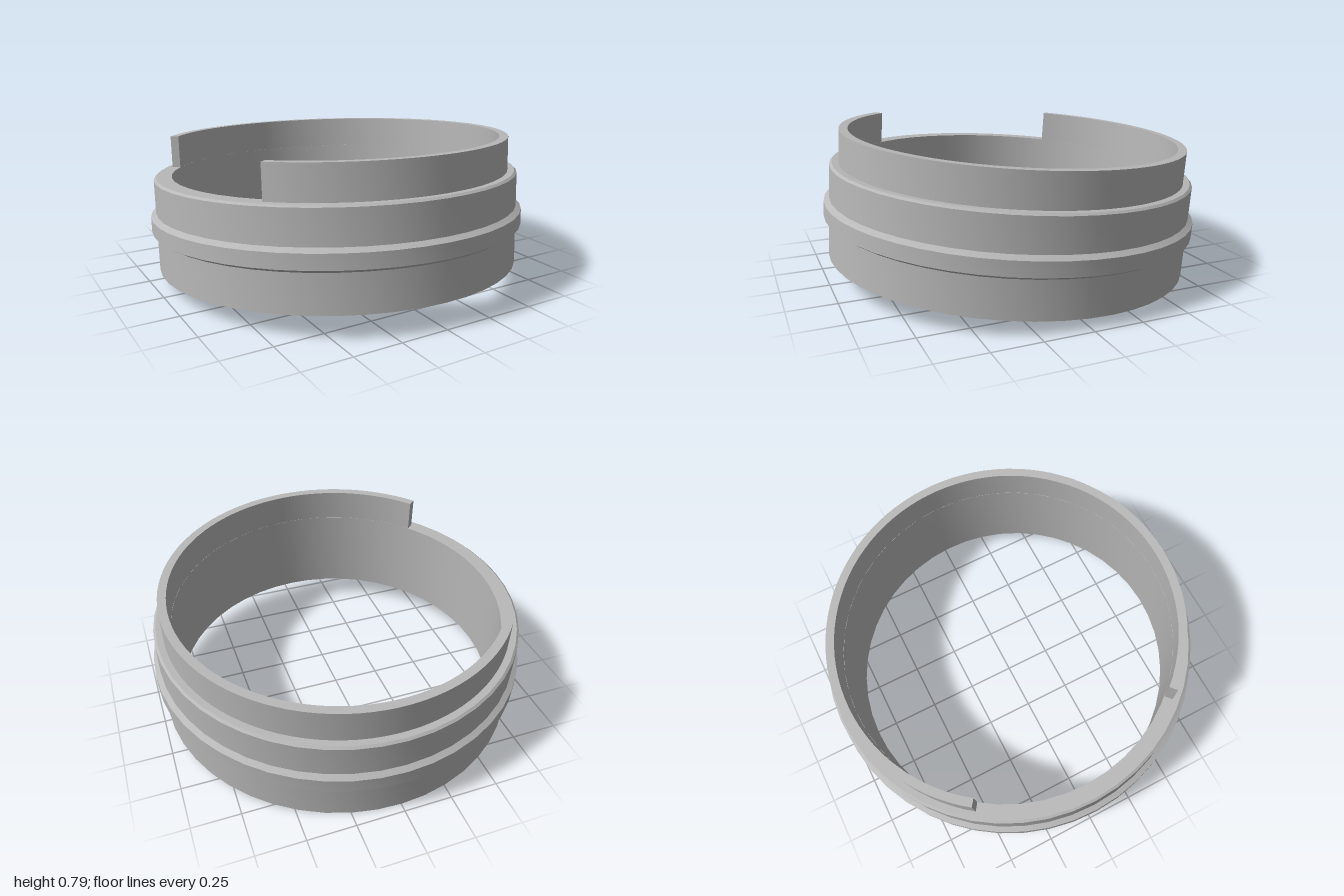
import * as THREE from 'three';
import { toCreasedNormals } from 'three/addons/utils/BufferGeometryUtils.js';

const SIDES = 48;
const INNER = 0.88;

export function createModel() {
  const model = new THREE.Group();
  model.name = 'steppedRing';
  const metal = new THREE.MeshStandardMaterial({ color: 0xb8b8b8 });
  metal.name = 'grey metal';

  // Ring leans slightly back and to its left
  const ring = new THREE.Group();
  ring.name = 'tiltedRing';
  ring.position.set(-0.003, 0.066, 0.015);
  ring.rotation.set(-0.065, 0, -0.012);
  model.add(ring);

  const add = (name, geometry) => {
    const mesh = new THREE.Mesh(toCreasedNormals(geometry, 0.3), metal);
    mesh.name = name;
    ring.add(mesh);
  };

  // Main band with a raised, chamfered rib around the middle
  const profile = [
    [INNER, 0], [0.972, 0], [0.972, 0.195], [0.999, 0.212], [0.999, 0.288],
    [0.972, 0.307], [0.972, 0.48], [0.96, 0.49], [INNER, 0.49], [INNER, 0],
  ].map(([r, y]) => new THREE.Vector2(r, y));
  add('bodyBand', new THREE.LatheGeometry(profile, SIDES));

  // Thinner upper collar, open on one side
  const start = THREE.MathUtils.degToRad(-140);
  const end = THREE.MathUtils.degToRad(143.5);
  const arc = new THREE.Shape();
  arc.absarc(0, 0, 0.925, start, end, false);
  arc.absarc(0, 0, INNER, end, start, true);
  arc.closePath();
  const collar = new THREE.ExtrudeGeometry(arc, {
    depth: 0.175, bevelEnabled: false, curveSegments: 38,
  });
  collar.rotateX(-Math.PI / 2);
  collar.translate(0, 0.49, 0);
  add('upperCollar', collar);

  return model;
}
